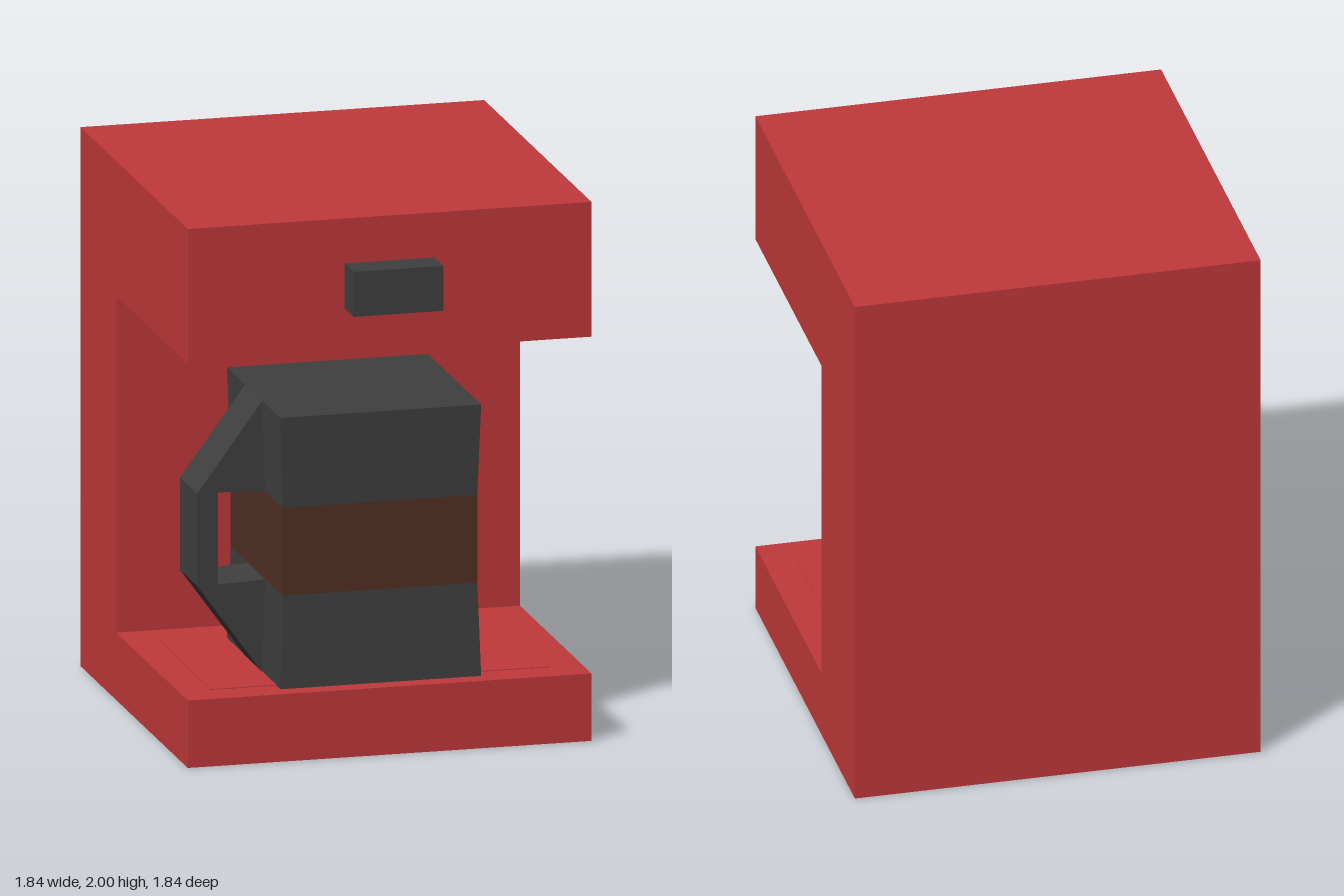
import * as THREE from 'three';

const paint = (color) => new THREE.MeshStandardMaterial({ color, flatShading: true });

function add(parent, name, geometry, material, x = 0, y = 0, z = 0) {
  const mesh = new THREE.Mesh(geometry, material);
  mesh.name = name;
  mesh.position.set(x, y, z);
  parent.add(mesh);
  return mesh;
}

const polygon = (points) => new THREE.Shape(points.map(([x, y]) => new THREE.Vector2(x, y)));

// Four-sided solid of revolution: half-widths and heights from bottom to top
const squareLathe = (profile) => new THREE.LatheGeometry(
  profile.map(([half, y]) => new THREE.Vector2(half * Math.SQRT2, y)), 4, Math.PI / 4);

export function createModel() {
  const model = new THREE.Group();
  model.name = 'coffeeMachine';
  model.rotation.y = -Math.PI / 12;

  const red = paint(0xc0383a);
  const dark = paint(0x3f3f3f);
  const brown = paint(0x503024);

  // C-shaped housing, its side profile extruded across the width
  const profile = polygon([
    [-0.75, 0], [0.75, 0], [0.75, 0.25], [-0.25, 0.25],
    [-0.25, 1.5], [0.75, 1.5], [0.75, 2], [-0.75, 2],
  ]);
  const housing = new THREE.ExtrudeGeometry(profile, { depth: 1.5, bevelEnabled: false });
  housing.translate(0, 0, -0.75).rotateY(-Math.PI / 2);
  add(model, 'housing', housing, red);

  // Square warming plate on the base
  add(model, 'warmingPlate', new THREE.BoxGeometry(1.26, 0.02, 0.75), red, 0, 0.243, 0.25);

  // Button on the front of the head
  add(model, 'button', new THREE.BoxGeometry(0.334, 0.167, 0.145), dark, 0, 1.75, 0.803);

  // Square pot, slightly waisted around the coffee band
  const pot = new THREE.Group();
  pot.name = 'pot';
  pot.position.set(-0.0145, 0, 0.307);
  model.add(pot);
  const wide = 0.373, waist = 0.362;
  add(pot, 'potBottom', squareLathe([[0, 0.25], [wide, 0.25], [waist, 0.594]]), dark);
  add(pot, 'coffeeBand', squareLathe([[waist, 0.594], [waist, 0.92]]), brown);
  add(pot, 'potTop', squareLathe([[waist, 0.92], [wide, 1.257], [0, 1.257]]), dark);

  // Angular handle on the right side of the pot
  const handle = new THREE.ExtrudeGeometry(polygon([
    [-wide, 1.257], [-0.615, 0.928], [-0.615, 0.586], [-wide, 0.25],
    [-waist, 0.594], [-0.537, 0.586], [-0.537, 0.928], [-waist, 0.92],
  ]), { depth: 0.24, bevelEnabled: false });
  add(pot, 'handle', handle, dark, 0, 0, -0.12);

  const root = new THREE.Group();
  root.add(model);
  return root;
}
